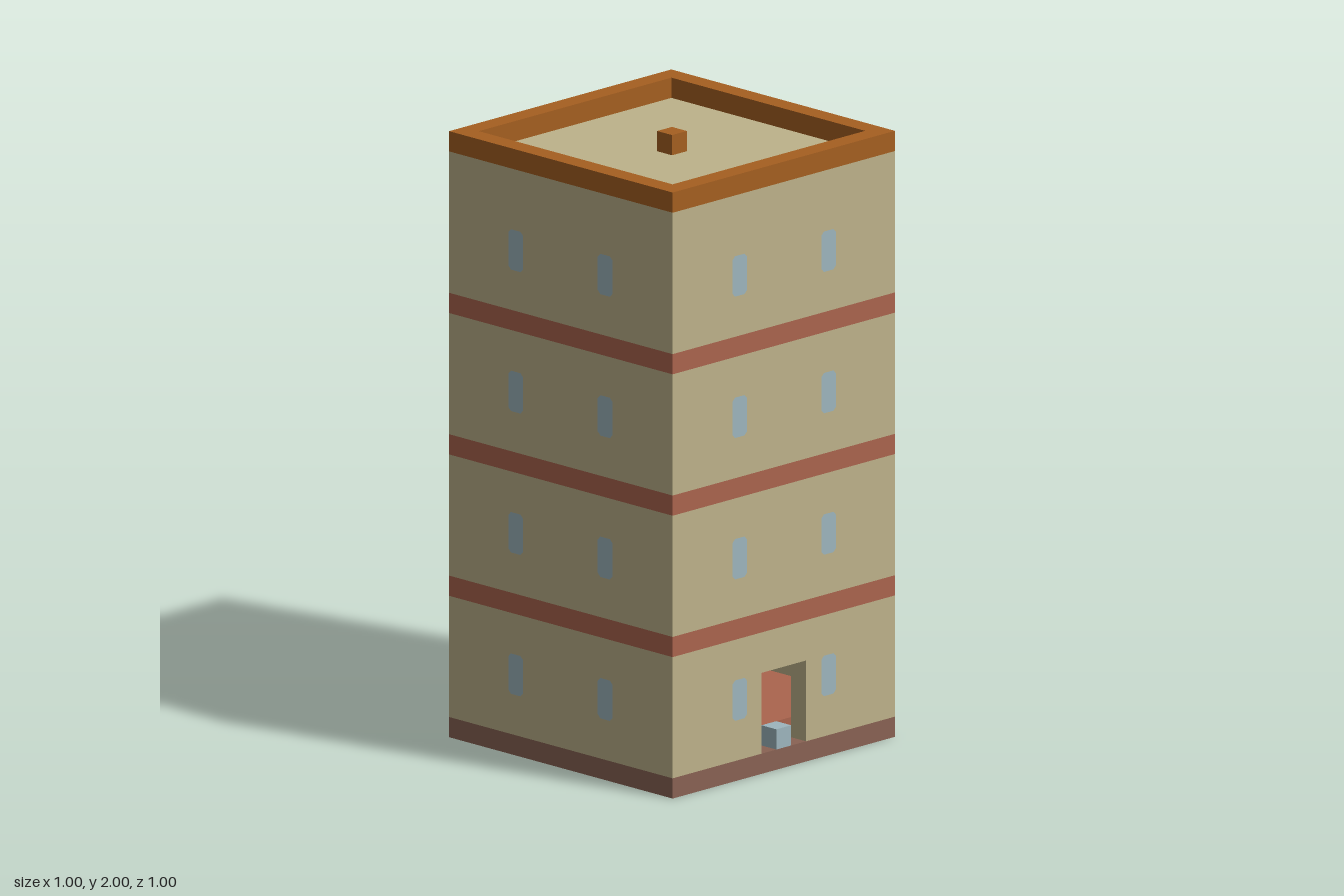
import * as THREE from 'three';

const V = 1 / 15; // the tower is laid out on a grid of 15 x 30 x 15 cells

export function createModel() {
  const mat = (name, color) => {
    const m = new THREE.MeshStandardMaterial({ color });
    m.name = name;
    return m;
  };
  const sand = mat('sandWall', 0xbdb28a);
  const brick = mat('brickRed', 0xab644e);
  const orange = mat('roofOrange', 0xa55f20);
  const brown = mat('baseBrown', 0x896253);
  const glass = mat('paleBlue', 0x9db5bd);

  const tower = new THREE.Group();
  tower.name = 'tower';

  // Box from grid limits, in cells (x and z measured from the centre)
  const block = (name, material, x0, x1, y0, y1, z0, z1) => {
    const geo = new THREE.BoxGeometry((x1 - x0) * V, (y1 - y0) * V, (z1 - z0) * V);
    const mesh = new THREE.Mesh(geo, material);
    mesh.position.set(x0 + x1, y0 + y1, z0 + z1).multiplyScalar(V / 2);
    mesh.name = name;
    tower.add(mesh);
  };
  const slab = (name, material, y0, y1) => block(name, material, -7.5, 7.5, y0, y1, -7.5, 7.5);

  // Base, floor bands and upper storeys
  slab('base', brown, 0, 1);
  [7, 14, 21].forEach((y) => slab('floorBand', brick, y, y + 1));
  [[8, 14], [15, 21], [22, 29]].forEach(([a, b]) => slab('storey', sand, a, b));

  // Hollow ground storey with a doorway in front
  block('backWall', sand, -7.5, 7.5, 1, 7, -7.5, -6.5);
  for (const s of [-1, 1]) {
    block('sideWall', sand, s * 7 - 0.5, s * 7 + 0.5, 1, 7, -6.5, 6.5);
    block('frontWall', sand, s * 4.5 - 3, s * 4.5 + 3, 1, 7, 6.5, 7.5);
  }
  block('lintel', sand, -1.5, 1.5, 5, 7, 6.5, 7.5);
  block('groundFloor', brick, -6.5, 6.5, 1, 2, -6.5, 6.5);
  block('doorBlock', glass, -0.5, 0.5, 1, 2, 6.5, 7.5);

  // Parapet ring, roof block and corner hatch
  for (const s of [-1, 1]) {
    block('parapet', orange, -7.5, 7.5, 29, 30, s * 7 - 0.5, s * 7 + 0.5);
    block('parapet', orange, s * 7 - 0.5, s * 7 + 0.5, 29, 30, -6.5, 6.5);
  }
  block('roofBlock', orange, -0.5, 0.5, 29, 30, -0.5, 0.5);
  block('roofHatch', brown, -6.5, -5.5, 29, 29.03, -6.5, -5.5);

  // Windows with clipped corners, the same on all four sides
  const w = V / 2, h = V, c = 0.012;
  const pane = new THREE.ShapeGeometry(new THREE.Shape([
    [-w + c, -h], [w - c, -h], [w, -h + c], [w, h - c],
    [w - c, h], [-w + c, h], [-w, h - c], [-w, -h + c],
  ].map(([x, y]) => new THREE.Vector2(x, y))));
  for (let side = 0; side < 4; side++) {
    const face = new THREE.Group();
    face.name = 'windowFace';
    face.rotation.y = side * Math.PI / 2;
    for (let floor = 0; floor < 4; floor++) {
      for (const s of [-1, 1]) {
        const win = new THREE.Mesh(pane, glass);
        win.name = 'window';
        win.position.set(s * 3 * V, (4 + floor * 7) * V, 0.502);
        face.add(win);
      }
    }
    tower.add(face);
  }
  return tower;
}
